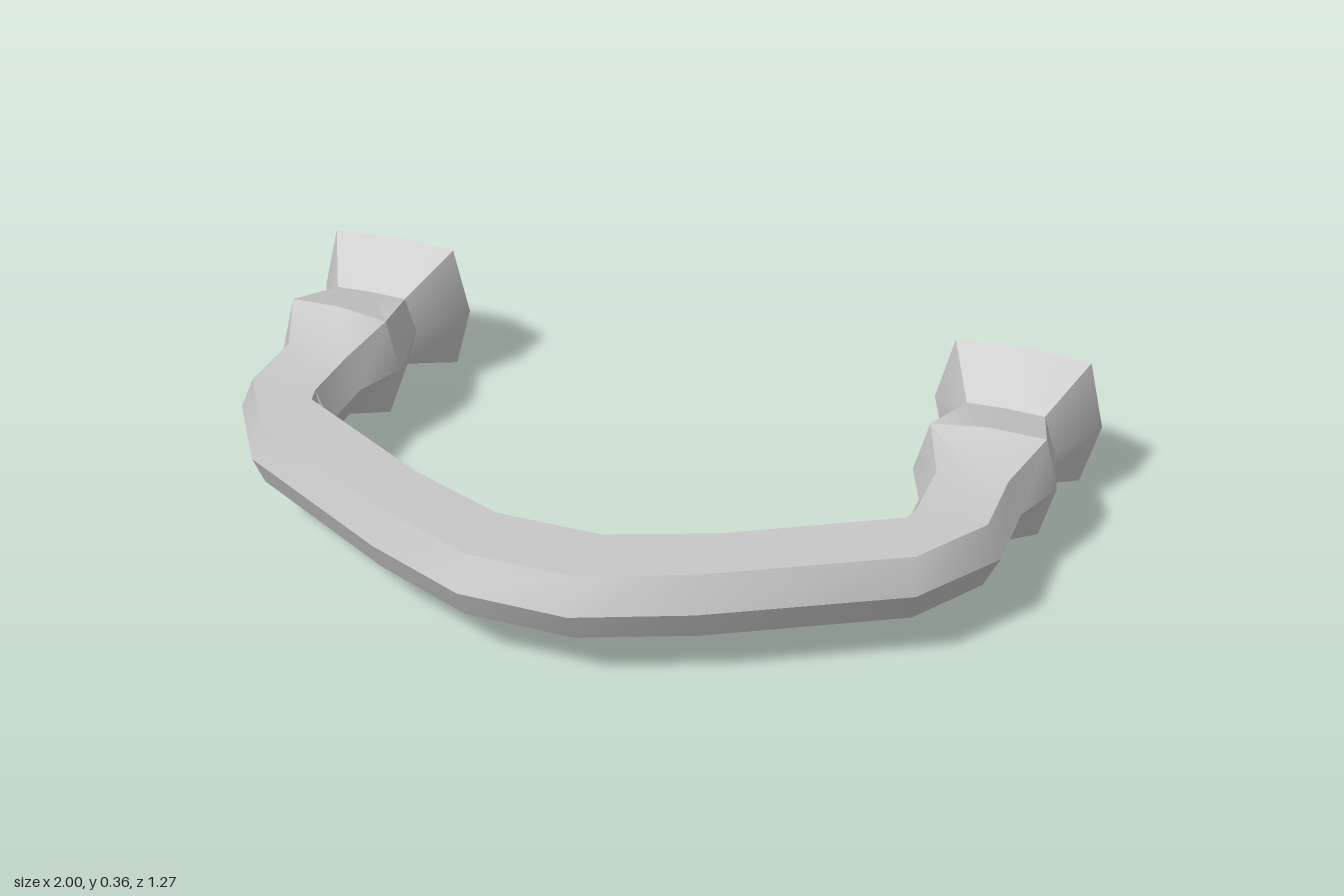
import * as THREE from 'three';
import { toCreasedNormals } from 'three/addons/utils/BufferGeometryUtils.js';

const MID_Y = 0.195;

// Stations of the +x half, from the middle to the end:
// outer x, z | inner x, z | corner inset | top corner, top centre, bottom corner, bottom centre
const BAR = [0.15, 0.275, 0.275, 0.12, 0.1];
const GRIP = [
  [0.125, 0.632, 0.12, 0.39, ...BAR],
  [0.37, 0.53, 0.35, 0.3, ...BAR],
  [0.78, 0.302, 0.695, 0.103, ...BAR],
  [0.912, 0.1, 0.685, 0.09, ...BAR],
  [0.912, -0.09, 0.685, -0.07, ...BAR],
  [0.962, -0.22, 0.638, -0.19, 0.1, 0.32, 0.33, 0.07, 0.045],
  [0.92, -0.38, 0.68, -0.38, 0.12, 0.28, 0.283, 0.1, 0.09],
];
const KNOB = [
  GRIP[GRIP.length - 1],
  [1.0, -0.525, 0.6, -0.525, 0.1, 0.357, 0.367, 0.04, 0.003],
  [0.895, -0.64, 0.705, -0.64, 0.06, 0.272, 0.28, 0.115, 0.093],
];

// Eight-point section running outer edge, over the top, inner edge, under the bottom
function ring([ox, oz, ix, iz, inset, topCorner, topMid, lowCorner, lowMid]) {
  const at = (t, y) => [ox + (ix - ox) * t, y, oz + (iz - oz) * t];
  return [
    at(0, MID_Y), at(inset, topCorner), at(0.5, topMid), at(1 - inset, topCorner),
    at(1, MID_Y), at(1 - inset, lowCorner), at(0.5, lowMid), at(inset, lowCorner),
  ];
}

const mirror = (points) => points.map(([x, y, z]) => [-x, y, z]);

// Skin a row of sections and close both ends
function loft(rings) {
  const index = [];
  const n = 8;
  const last = (rings.length - 1) * n;
  for (let s = 0; s < rings.length - 1; s++) {
    for (let i = 0; i < n; i++) {
      const a = s * n + i;
      const b = s * n + ((i + 1) % n);
      index.push(a, a + n, b + n, a, b + n, b);
    }
  }
  for (let i = 1; i < n - 1; i++) {
    index.push(0, i, i + 1, last, last + i + 1, last + i);
  }
  const geometry = new THREE.BufferGeometry();
  geometry.setAttribute('position', new THREE.Float32BufferAttribute(rings.flat(2), 3));
  geometry.setIndex(index);
  return toCreasedNormals(geometry, THREE.MathUtils.degToRad(34));
}

export function createModel() {
  const group = new THREE.Group();
  const metal = new THREE.MeshStandardMaterial({ color: 0xc8c8c8 });
  metal.name = 'light grey metal';

  const add = (name, rings) => {
    const mesh = new THREE.Mesh(loft(rings), metal);
    mesh.name = name;
    group.add(mesh);
  };

  // Bowed bar with a swelling near each end
  const half = GRIP.map(ring);
  add('gripBar', [...half.map(mirror).reverse(), ...half]);

  // Faceted end knobs
  const knob = KNOB.map(ring);
  add('leftKnob', knob);
  add('rightKnob', knob.map(mirror).reverse());

  return group;
}
